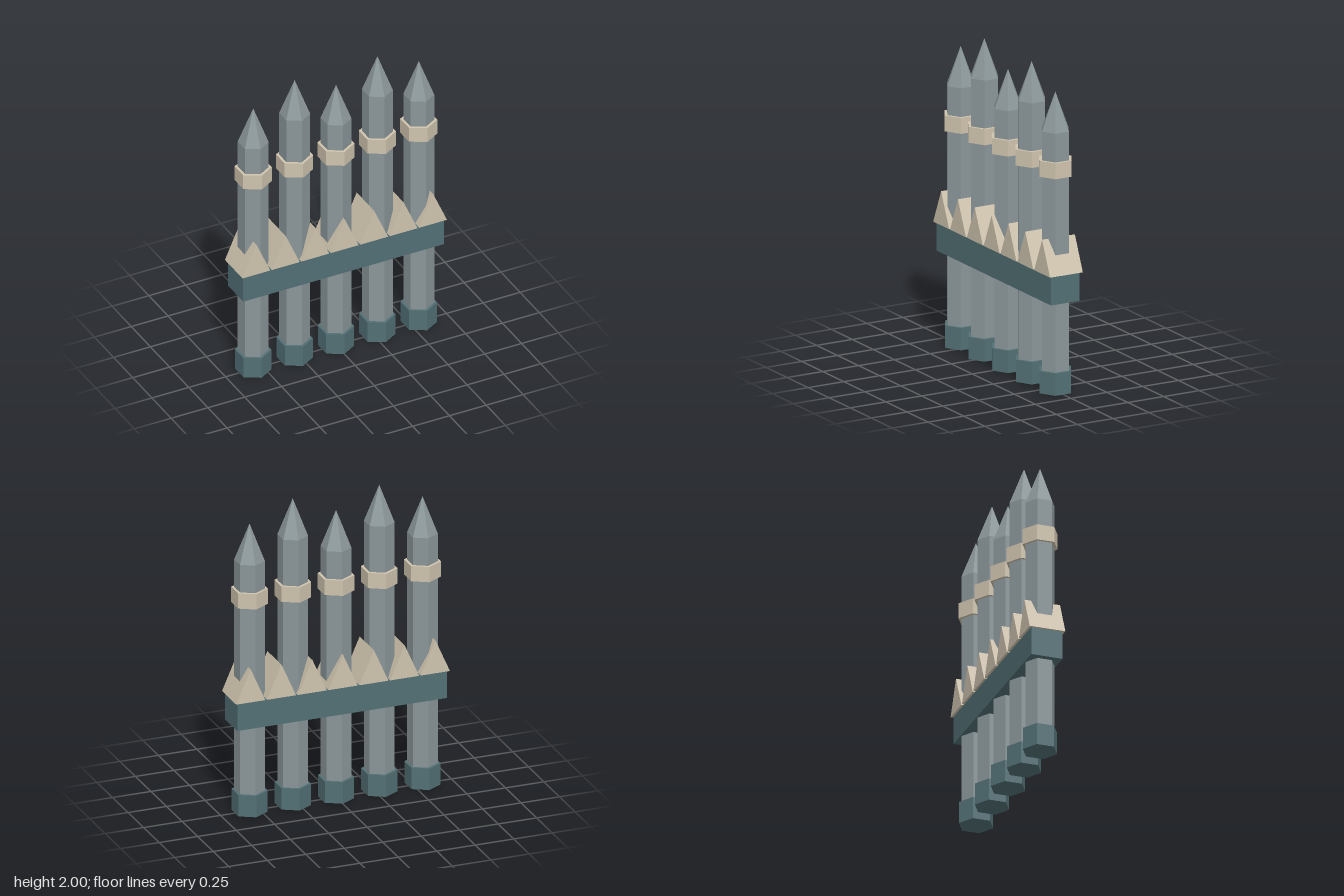
import * as THREE from 'three';

const stone = new THREE.MeshStandardMaterial({ color: 0x8b979a, flatShading: true });
const teal = new THREE.MeshStandardMaterial({ color: 0x527075, flatShading: true });
const bone = new THREE.MeshStandardMaterial({ color: 0xd0c4ae, flatShading: true });

function add(parent, name, geometry, material, x, y, z = 0) {
  const mesh = new THREE.Mesh(geometry, material);
  mesh.name = name;
  mesh.position.set(x, y, z);
  parent.add(mesh);
  return mesh;
}

// Six-sided prism standing between two heights, one corner facing front
function hexPart(parent, name, radius, y0, y1, material, topRadius = radius) {
  const geometry = new THREE.CylinderGeometry(topRadius, radius, y1 - y0, 6);
  return add(parent, name, geometry, material, 0, (y0 + y1) / 2);
}

function createPost(x, shoulder) {
  const post = new THREE.Group();
  post.name = 'post';
  post.position.x = x;
  hexPart(post, 'foot', 0.11, 0, 0.14, teal);
  hexPart(post, 'shaft', 0.0935, 0.02, shoulder, stone);
  hexPart(post, 'point', 0.0935, shoulder, shoulder + 0.24, stone, 0);
  hexPart(post, 'band', 0.112, 1.36, 1.46, bone);
  return post;
}

export function createModel() {
  const model = new THREE.Group();
  model.name = 'palisade';

  // Five pickets, every second one taller
  for (let i = 0; i < 5; i++) {
    model.add(createPost((i - 2) * 0.281, i % 2 ? 1.76 : 1.64));
  }

  // Cross rail through all pickets
  add(model, 'rail', new THREE.BoxGeometry(1.364, 0.18, 0.2), teal, 0, 0.67);

  // Row of triangular teeth running front to back on top of the rail
  const half = 0.0945, depth = 0.229;
  const triangle = new THREE.Shape([
    new THREE.Vector2(-half, 0),
    new THREE.Vector2(half, 0),
    new THREE.Vector2(0, 0.215),
  ]);
  const tooth = new THREE.ExtrudeGeometry(triangle, { depth, bevelEnabled: false });
  for (let i = -3; i <= 3; i++) {
    add(model, 'tooth', tooth, bone, i * 0.2, 0.76, -depth / 2);
  }
  return model;
}
